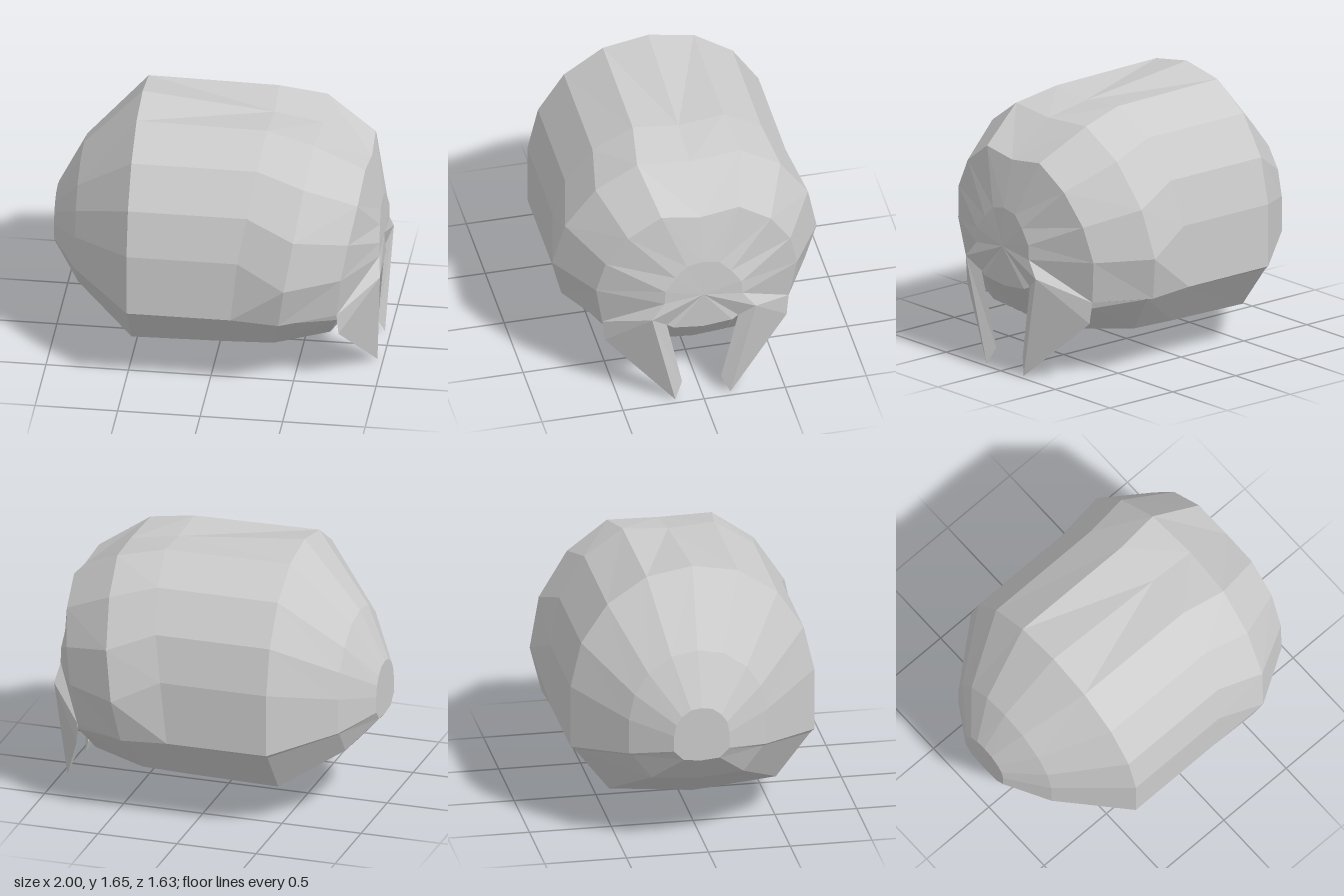
import * as THREE from 'three';

const material = new THREE.MeshStandardMaterial({ color: 0xcccccc, flatShading: true, side: THREE.DoubleSide });

// Build a flat-shaded mesh from triangles on the +z half, mirrored to -z.
// skew shifts the tapered rear end slightly sideways.
function mirrored(name, tris) {
  const pos = [];
  const skew = x => (x < -0.9 ? -0.04 : x < -0.7 ? -0.035 : 0);
  for (const [a, b, c] of tris) {
    for (const p of [a, b, c]) pos.push(p[0], p[1], p[2] + skew(p[0]));
    for (const p of [a, c, b]) pos.push(p[0], p[1], -p[2] + skew(p[0]));
  }
  const g = new THREE.BufferGeometry();
  g.setAttribute('position', new THREE.Float32BufferAttribute(pos, 3));
  g.computeVertexNormals();
  const mesh = new THREE.Mesh(g, material);
  mesh.name = name;
  return mesh;
}

// Triangles between successive half sections (rows run towards +x, points run downwards)
function loft(rows) {
  const tris = [];
  for (let i = 0; i < rows.length - 1; i++) {
    const r = rows[i], s = rows[i + 1];
    for (let j = 0; j < r.length - 1; j++) {
      tris.push([r[j], r[j + 1], s[j]], [r[j + 1], s[j + 1], s[j]]);
    }
  }
  return tris;
}

// Fan from one point around a half section
const fan = (centre, row) => row.slice(1).map((p, i) => [row[i], p, centre]);

export function createModel() {
  const group = new THREE.Group();

  // Upper shell: half sections of [x, y, z] from crown to lower rim
  const section = (x, yz) => yz.map(([y, z]) => [x, y, z]);
  const upper = [
    section(-1, [[0.94, 0], [0.93, 0.065], [0.89, 0.12], [0.84, 0.155], [0.77, 0.17], [0.67, 0.17]]),
    section(-0.84, [[1.25, 0], [1.22, 0.16], [1.12, 0.3], [0.99, 0.385], [0.83, 0.42], [0.61, 0.42]]),
    section(-0.48, [[1.65, 0], [1.6, 0.28], [1.44, 0.52], [1.2, 0.68], [0.92, 0.745], [0.53, 0.745]]),
    [[0.32, 1.565, 0], [0.31, 1.59, 0.28], [0.28, 1.44, 0.52], [0.24, 1.2, 0.68], [0.19, 0.92, 0.745], [0.15, 0.53, 0.745]],
    [[0.62, 1.515, 0], [0.6, 1.53, 0.32], [0.57, 1.36, 0.57], [0.53, 1.09, 0.75], [0.48, 0.785, 0.815], [0.44, 0.515, 0.75]],
    [[0.91, 1.31, 0], [0.9, 1.34, 0.24], [0.88, 1.2, 0.44], [0.84, 1.0, 0.57], [0.8, 0.78, 0.62], [0.77, 0.515, 0.575]],
  ];
  group.add(mirrored('upperShell', loft(upper)));

  // Lower shell: upper edge, bend and keel
  const lower = [
    [[-1, 0.66, 0.16], [-1, 0.61, 0.11], [-1, 0.6, 0]],
    [[-0.84, 0.6, 0.4], [-0.84, 0.445, 0.28], [-0.84, 0.42, 0]],
    [[-0.48, 0.51, 0.72], [-0.48, 0.24, 0.51], [-0.48, 0.19, 0]],
    [[0.15, 0.525, 0.72], [0.08, 0.25, 0.51], [0.06, 0.2, 0]],
    [[0.44, 0.5, 0.7], [0.38, 0.26, 0.51], [0.38, 0.215, 0]],
    [[0.77, 0.475, 0.56], [0.71, 0.3, 0.4], [0.71, 0.265, 0]],
  ];
  group.add(mirrored('lowerShell', loft(lower)));

  // Narrow dark step joining the two shells
  group.add(mirrored('seam', loft(upper.map((r, i) => [r[5], lower[i][0]]))));

  // Flat rear end
  group.add(mirrored('rearCap', fan([-1, 0.77, 0], [...upper[0], ...lower[0]].reverse())));

  // Front plate narrowing to the snout
  const root = [0.78, 0.38, 0.56];
  const ridge = [1.0, 0.65, 0.32];
  const snout = [
    [0.975, 1.02, 0], [0.975, 1.0, 0.1], [0.98, 0.93, 0.17],
    [0.985, 0.84, 0.235], [0.985, 0.75, 0.24], ridge,
  ];
  const plate = loft([upper[5], snout]);
  plate.push([upper[5][5], root, ridge]);
  group.add(mirrored('frontPlate', plate));

  // Snout face, closed at the mouth's upper lip
  const lip = [[0.96, 0.57, 0.22], [0.97, 0.55, 0.18], [0.97, 0.53, 0]];
  group.add(mirrored('snout', fan([0.985, 0.78, 0], [...snout, ...lip])));

  // Pair of pointed fangs below the plate
  const tip = [0.965, 0, 0.17];
  const inner = [0.93, 0.1, 0.12];
  group.add(mirrored('fangs', [
    [root, tip, ridge],
    [ridge, tip, inner], [ridge, inner, lip[0]],
    [root, inner, tip], [root, lip[0], inner],
  ]));

  // Sloping roof of the mouth, from the lip back to the lower shell
  const jaw = [lower[5][1], [0.71, 0.283, 0.2], lower[5][2]];
  const palate = loft([jaw, lip]);
  palate.push([lower[5][0], jaw[0], lip[0]], [lower[5][0], lip[0], root]);
  group.add(mirrored('palate', palate));

  return group;
}
